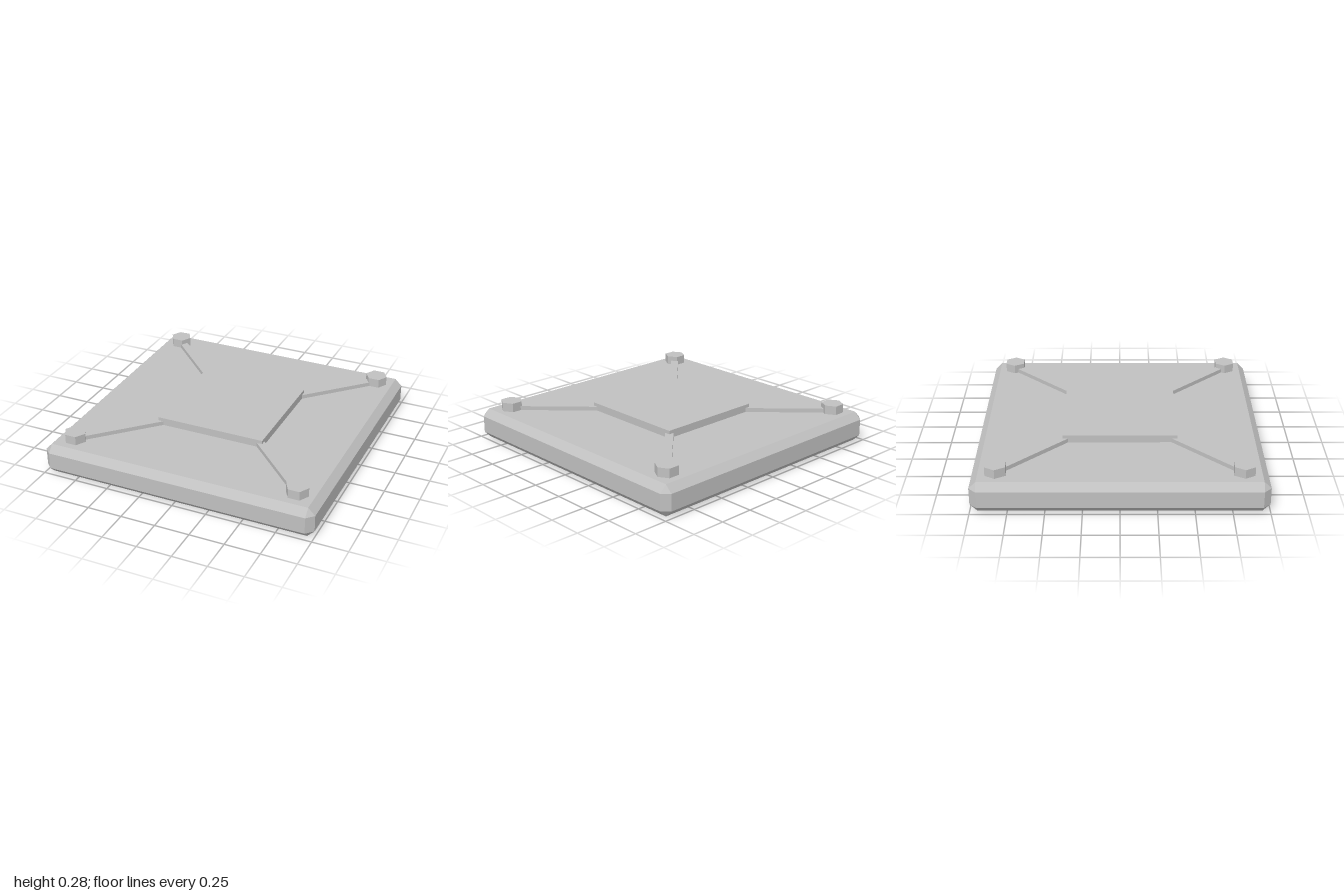
import * as THREE from 'three';
import { ConvexGeometry } from 'three/addons/geometries/ConvexGeometry.js';

const HALF = 1, HEIGHT = 0.22, BEVEL = 0.05;

// Box standing on y = 0 with every edge cut by a flat chamfer
function chamferedBox(half, height, bevel) {
  const points = [];
  const h = height / 2;
  for (const sx of [-1, 1]) for (const sy of [-1, 1]) for (const sz of [-1, 1]) {
    const add = (x, y, z) => points.push(new THREE.Vector3(sx * x, h + sy * y, sz * z));
    add(half, h - bevel, half - bevel);
    add(half - bevel, h, half - bevel);
    add(half - bevel, h - bevel, half);
  }
  return new ConvexGeometry(points);
}

export function createModel() {
  const group = new THREE.Group();
  const metal = new THREE.MeshStandardMaterial({ color: 0xc0c0c0 });
  metal.name = 'grey metal';

  const add = (name, geometry, x, y, z) => {
    const mesh = new THREE.Mesh(geometry, metal);
    mesh.name = name;
    mesh.position.set(x, y, z);
    group.add(mesh);
    return mesh;
  };

  // Slab with chamfered edges
  add('baseSlab', chamferedBox(HALF, HEIGHT, BEVEL), 0, 0, 0);

  // Raised square in the middle
  add('centrePlate', new THREE.BoxGeometry(0.805, 0.065, 0.805), 0, 0.2425, 0);

  // Hexagonal bolts with a point along x, and ribs running to the plate
  const bolt = new THREE.CylinderGeometry(0.08, 0.08, 0.075, 6).rotateY(Math.PI / 2).toNonIndexed();
  bolt.computeVertexNormals();
  const inner = 0.37, outer = 0.81;
  const rib = new THREE.BoxGeometry((outer - inner) * Math.SQRT2, 0.04, 0.057);
  const mid = (inner + outer) / 2;
  for (const sx of [-1, 1]) for (const sz of [-1, 1]) {
    add('cornerBolt', bolt, sx * 0.83, 0.2475, sz * 0.83);
    add('diagonalRib', rib, sx * mid, 0.23, sz * mid).rotation.y = -sx * sz * Math.PI / 4;
  }
  return group;
}
